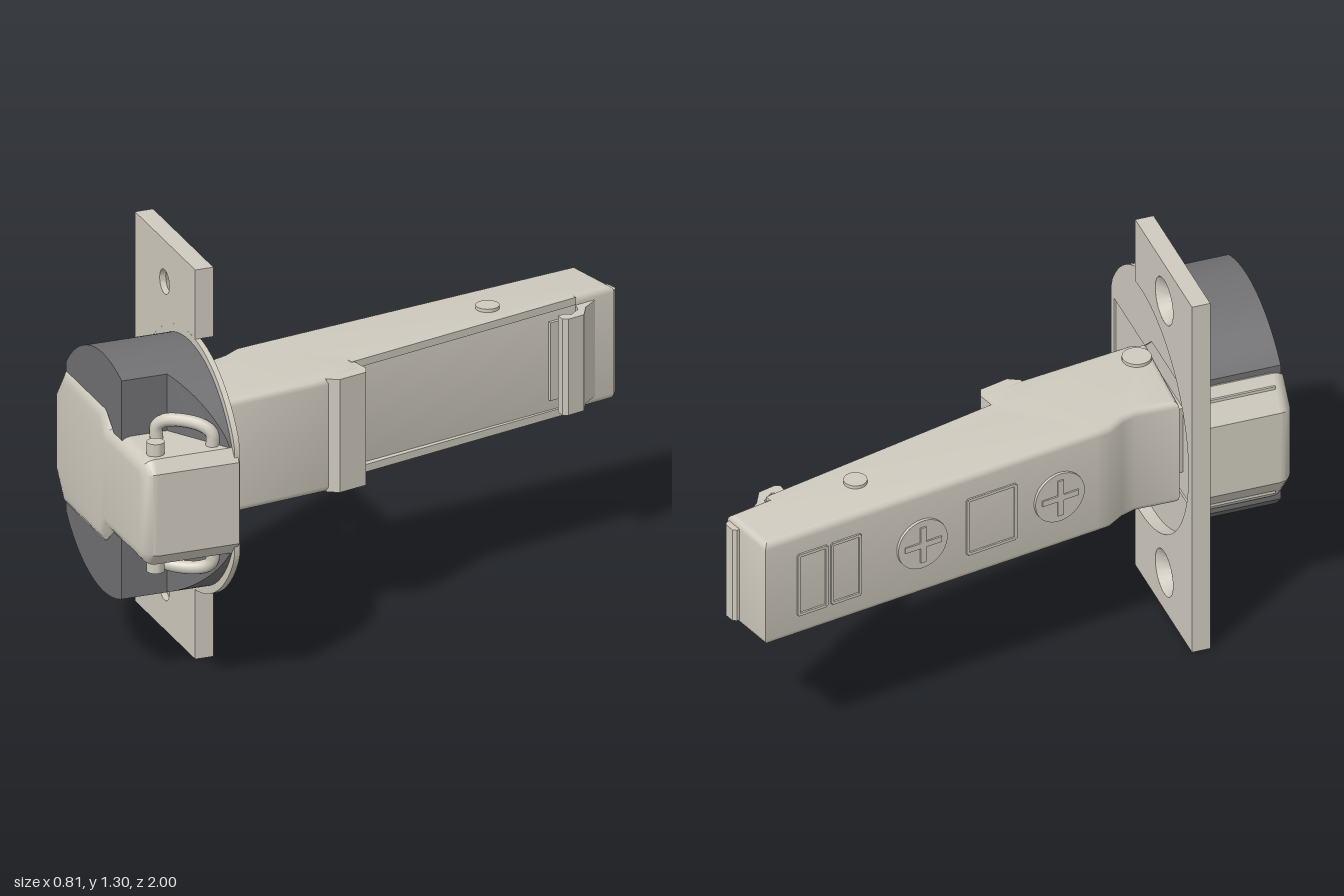
import * as THREE from 'three';
import { toCreasedNormals } from 'three/addons/utils/BufferGeometryUtils.js';

const steel = new THREE.MeshStandardMaterial({ color: 0xcfcabe });
const dark = new THREE.MeshStandardMaterial({ color: 0x707072 });

const toShape = (pts) => new THREE.Shape(pts.map(([a, b]) => new THREE.Vector2(a, b)));

// Extrude a shape from z0 to z1, optionally with rounded edges inside that range
function extrude(shape, z0, z1, bevel = 0) {
  const g = new THREE.ExtrudeGeometry(shape, {
    depth: z1 - z0 - 2 * bevel, curveSegments: 32, bevelEnabled: bevel > 0,
    bevelThickness: bevel, bevelSize: bevel, bevelOffset: -bevel, bevelSegments: 4,
  });
  return g.translate(0, 0, z0 + bevel);
}

// Extrude a plan outline given as [x, z] upwards from y0 to y1
function slab(pts, y0, y1, bevel = 0) {
  return extrude(toShape(pts.map(([x, z]) => [x, -z])), y0, y1, bevel).rotateX(-Math.PI / 2);
}

function add(parent, name, geometry, material = steel) {
  const mesh = new THREE.Mesh(toCreasedNormals(geometry, 0.6), material);
  mesh.name = name;
  parent.add(mesh);
  return mesh;
}

// Points of a circle around the origin from angle a to b
function arc(r, a, b, n = 32) {
  return Array.from({ length: n + 1 }, (_, i) => {
    const t = a + ((b - a) * i) / n;
    return [r * Math.cos(t), r * Math.sin(t)];
  });
}

const mirrorY = (pts) => [...pts, ...pts.map(([x, y]) => [x, -y]).reverse()];

function buildCup() {
  const cup = new THREE.Group();
  cup.name = 'cup';
  cup.position.set(0.03, 0.65, 0.62);
  cup.rotation.y = -0.253;

  const cavity = mirrorY([[-0.34, 0.2], [0.02, 0.2], [0.08, 0.145], [0.35, 0.145]]);

  // Mounting plate, notched by the round flange, with countersunk screw holes
  const R = 0.42;
  const a0 = Math.acos(0.05 / R);
  const plate = toShape([
    [0.05, 0.648], [-0.45, 0.648], [-0.45, -0.648], [0.05, -0.648],
    ...arc(R, -a0, -2 * Math.PI + a0, 48),
  ]);
  const sinkPlate = plate.clone();
  for (const y of [-0.51, 0.51]) {
    plate.holes.push(new THREE.Path().absarc(-0.205, y, 0.04, 0, 2 * Math.PI, true));
    sinkPlate.holes.push(new THREE.Path().absarc(-0.205, y, 0.078, 0, 2 * Math.PI, true));
    const cone = new THREE.LatheGeometry([[0.04, 0], [0.04, 0.02], [0.078, 0.06]].map(
      ([r, h]) => new THREE.Vector2(r, h)), 32).rotateX(-Math.PI / 2).translate(-0.205, y, 0);
    const sink = add(cup, 'countersink', cone, steel.clone());
    sink.material.side = THREE.DoubleSide;
  }
  add(cup, 'plateFront', extrude(plate, -0.02, 0));
  add(cup, 'plateBack', extrude(sinkPlate, -0.06, -0.02));

  // Thin round flange with the opening for the arm
  const flange = toShape(arc(R, 0, 2 * Math.PI, 72).slice(0, -1).map(([x, y]) => [Math.min(x, 0.375), y]));
  flange.holes.push(toShape(cavity));
  add(cup, 'flange', extrude(flange, -0.018, 0));

  // Dark drum halves: a deep part and a sloping part beside it
  const r = 0.395;
  const at = (u) => Math.acos(u / r);
  const deep = [...arc(r, at(0.155), at(-0.305)), [-0.305, 0.215], [0.03, 0.215], [0.09, 0.165], [0.155, 0.165]];
  const slope = [...arc(r, Math.asin(0.165 / r), at(0.155), 16), [0.155, 0.165]];
  for (const s of [1, -1]) {
    const flip = (pts) => toShape(pts.map(([x, y]) => [x, s * y]));
    add(cup, 'drum', extrude(flip(deep), 0, 0.285), dark);
    const g = extrude(flip(slope), 0, 1);
    const p = g.attributes.position;
    for (let i = 0; i < p.count; i++) {
      p.setZ(i, p.getZ(i) * Math.max(0.005, 0.135 * (1 - (p.getX(i) - 0.155) / 0.205)));
    }
    add(cup, 'drumSlope', g, dark);
  }

  // Bridge housing across the drum: hollow wall and rounded cap
  const outline = mirrorY([
    [-0.385, 0.13], [-0.31, 0.23], [0.03, 0.23], [0.065, 0.175], [0.355, 0.175], [0.385, 0.135],
  ]);
  const wall = toShape(outline);
  wall.holes.push(toShape(cavity));
  add(cup, 'bridgeWall', extrude(wall, -0.012, 0.255));
  add(cup, 'bridgeCap', extrude(toShape(outline), 0.21, 0.3, 0.045));

  // Wire loops and pegs on both ends of the bridge
  for (const s of [1, -1]) {
    const path = new THREE.CatmullRomCurve3([
      [0.195, 0.16, 0.185], [0.195, 0.215, 0.185], [0.215, 0.238, 0.162],
      [0.285, 0.238, 0.08], [0.31, 0.215, 0.05], [0.312, 0.16, 0.048],
    ].map(([x, y, z]) => new THREE.Vector3(x, s * y, z)));
    add(cup, 'wireLoop', new THREE.TubeGeometry(path, 40, 0.021, 12));
    add(cup, 'peg', new THREE.CylinderGeometry(0.028, 0.028, 0.08, 24).translate(0.31, s * 0.175, 0.235));
  }
  // Hinge pin inside the housing
  add(cup, 'hingePin', new THREE.CylinderGeometry(0.03, 0.03, 0.28, 20).translate(0.27, 0, 0.1));
  return cup;
}

function buildArm() {
  const arm = new THREE.Group();
  arm.name = 'arm';

  add(arm, 'armBody', slab([
    [-0.15, -0.98], [0.055, -0.98], [0.05, 0], [0.065, 0.02], [0.13, 0.03], [0.135, 0.16],
    [0.095, 0.55], [0.07, 0.6], [-0.25, 0.5], [-0.212, 0.36], [-0.218, 0.31], [-0.24, 0.25], [-0.237, 0.2],
  ], 0.46, 0.84, 0.022));
  add(arm, 'innerArm', slab([[-0.2, 0.45], [0.05, 0.5], [0.02, 0.76], [-0.2, 0.72]], 0.53, 0.77));

  // Side lips along the open face
  for (const y of [0.46, 0.815]) {
    add(arm, 'sideLip', slab([[0, -0.83], [0.062, -0.83], [0.07, 0.03], [0, 0.03]], y, y + 0.025));
  }
  // Raised bar, rear latch and end tab
  add(arm, 'stepBar', slab([
    [0.06, 0.02], [0.13, 0.02], [0.158, 0.04], [0.158, 0.14], [0.13, 0.17], [0.06, 0.17]], 0.462, 0.838));
  add(arm, 'latch', slab([
    [0.04, -0.93], [0.065, -0.89], [0.085, -0.85], [0.13, -0.81], [0.132, -0.75], [0.12, -0.735],
    [0.09, -0.74], [0.09, -0.765], [0.105, -0.78], [0.085, -0.82], [0.04, -0.84],
  ], 0.49, 0.81));
  add(arm, 'latchPlate', slab([[0.03, -0.85], [0.065, -0.85], [0.065, -0.73], [0.03, -0.73]], 0.52, 0.78));
  add(arm, 'endTab', slab([
    [-0.01, -0.95], [-0.01, -0.99], [0, -1], [0.035, -1], [0.045, -0.99], [0.045, -0.95]], 0.48, 0.82));

  // Rivets through the arm
  for (const [x, z, r] of [[-0.03, -0.56, 0.037], [0.015, 0.525, 0.046]]) {
    add(arm, 'rivet', new THREE.CylinderGeometry(r, r, 0.402, 32).translate(x, 0.65, z));
  }

  // Adjusting screws and shallow frames on the closed face
  const face = new THREE.Group();
  face.name = 'closedFace';
  face.position.set(-0.195, 0.65, -0.365);
  face.rotation.y = -0.073;
  arm.add(face);
  for (const z of [0.43, -0.06]) {
    add(face, 'screw', new THREE.CylinderGeometry(0.088, 0.088, 0.02, 32).rotateZ(Math.PI / 2).translate(0, 0, z));
    add(face, 'screwCross', new THREE.BoxGeometry(0.03, 0.13, 0.02).translate(0, 0, z));
    add(face, 'screwCross', new THREE.BoxGeometry(0.03, 0.02, 0.13).translate(0, 0, z));
  }
  for (const [z, w, h] of [[0.19, 0.17, 0.2], [-0.33, 0.1, 0.22], [-0.45, 0.1, 0.22]]) {
    for (const s of [1, -1]) {
      add(face, 'frame', new THREE.BoxGeometry(0.012, 0.01, w).translate(0, (s * h) / 2, z));
      add(face, 'frame', new THREE.BoxGeometry(0.012, h, 0.01).translate(0, 0, z + (s * w) / 2));
    }
  }
  return arm;
}

function buildLink() {
  const link = new THREE.Group();
  link.name = 'link';
  // Curved strap from the arm into the cup, with its cross pin
  add(link, 'strap', slab([
    [0.04, 0.5], [0.09, 0.55], [0.13, 0.63], [0.21, 0.68], [0.29, 0.72], [0.27, 0.76], [0.17, 0.73], [0.06, 0.64],
  ], 0.565, 0.735));
  add(link, 'strapPin', new THREE.CylinderGeometry(0.032, 0.032, 0.28, 20).translate(0.22, 0.65, 0.7));
  return link;
}

export function createModel() {
  const model = new THREE.Group();
  model.name = 'cabinetHinge';
  model.add(buildCup(), buildArm(), buildLink());
  return model;
}
